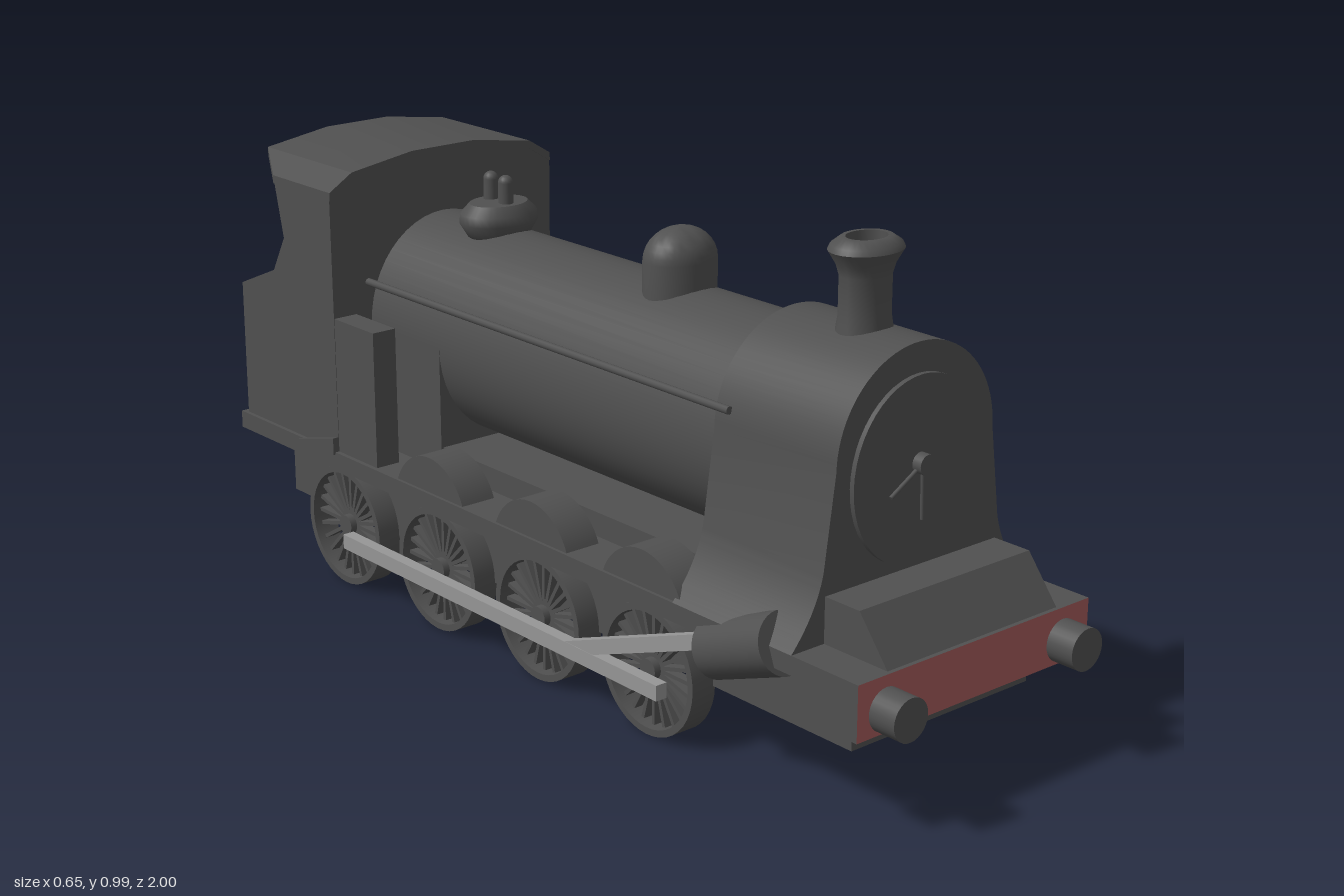
import * as THREE from 'three';
import { toCreasedNormals, mergeGeometries } from 'three/addons/utils/BufferGeometryUtils.js';

const material = (name, color) => Object.assign(new THREE.MeshStandardMaterial({ color }), { name });

export function createModel() {
  const dark = material('dark iron', 0x505050);
  const red = material('buffer red', 0xa65c5c);
  const steel = material('rod steel', 0x969696);
  const model = new THREE.Group();
  model.name = 'steamEngine';

  const add = (name, geo, mat = dark, x = 0, y = 0, z = 0) => {
    const m = new THREE.Mesh(geo, mat);
    m.name = name;
    m.position.set(x, y, z);
    model.add(m);
    return m;
  };
  // box given by its limits
  const box = (name, x0, x1, y0, y1, z0, z1, mat = dark) =>
    add(name, new THREE.BoxGeometry(x1 - x0, y1 - y0, z1 - z0), mat, (x0 + x1) / 2, (y0 + y1) / 2, (z0 + z1) / 2);
  const shapeOf = (pts) => new THREE.Shape(pts.map((p) => new THREE.Vector2(p[0], p[1])));
  const extrude = (shape, depth) =>
    toCreasedNormals(new THREE.ExtrudeGeometry(shape, { depth, bevelEnabled: false, curveSegments: 20 }), 0.6);
  // (z, y) outline made into a plate centred on x
  const sidePlate = (pts, t) => extrude(shapeOf(pts), t).rotateY(-Math.PI / 2).translate(t / 2, 0, 0);
  const lathe = (pts, n = 32) =>
    toCreasedNormals(new THREE.LatheGeometry(pts.map((p) => new THREE.Vector2(p[0], p[1])), n), 0.7);
  // round bar or flat bar between two points
  const bar = (name, a, b, w, h, mat, round) => {
    const p = new THREE.Vector3(...a), q = new THREE.Vector3(...b);
    const len = p.distanceTo(q);
    const geo = round ? new THREE.CylinderGeometry(w, w, len, 10).rotateX(Math.PI / 2) : new THREE.BoxGeometry(w, h, len);
    const m = add(name, geo, mat);
    m.position.copy(p).add(q).multiplyScalar(0.5);
    m.lookAt(q);
    return m;
  };

  // chassis, running board with red underside, buffer beam
  box('chassis', -0.23, 0.23, 0.13, 0.27, -0.9, 0.86);
  box('runningBoard', -0.3, 0.3, 0.267, 0.305, -1, 0.935, [dark, dark, dark, red, dark, dark]);
  box('bufferBeam', -0.3, 0.3, 0.195, 0.305, 0.86, 0.94, [dark, dark, dark, dark, red, red]);
  for (const s of [-1, 1]) {
    add('buffer', new THREE.CylinderGeometry(0.042, 0.042, 0.06, 28).rotateX(Math.PI / 2), dark, s * 0.23, 0.24, 0.97);
  }

  // sloping box ahead of the smokebox
  add('frontPlatform', sidePlate([[0.7, 0.3], [0.935, 0.3], [0.86, 0.395], [0.7, 0.395]], 0.44));

  // smokebox with flared foot
  const smoke = new THREE.Shape();
  smoke.moveTo(-0.3, 0.305);
  smoke.lineTo(0.3, 0.305);
  smoke.quadraticCurveTo(0.24, 0.37, 0.225, 0.44);
  smoke.lineTo(0.2, 0.62);
  smoke.absellipse(0, 0.62, 0.2, 0.2, 0, Math.PI, false);
  smoke.lineTo(-0.225, 0.44);
  smoke.quadraticCurveTo(-0.24, 0.37, -0.3, 0.305);
  add('smokebox', extrude(smoke, 0.315), dark, 0, 0, 0.46);

  // smokebox door and its handles
  const door = add('smokeboxDoor', new THREE.CylinderGeometry(0.166, 0.166, 0.02, 48).rotateX(Math.PI / 2), dark, 0, 0.583, 0.775);
  door.scale.y = 1.08;
  add('doorKnob', new THREE.CylinderGeometry(0.02, 0.02, 0.025, 20).rotateX(Math.PI / 2), dark, 0, 0.597, 0.793);
  bar('doorHandle', [0, 0.597, 0.792], [-0.08, 0.55, 0.792], 0.004, 0, dark, true);
  bar('doorHandle', [0, 0.597, 0.792], [0.003, 0.49, 0.792], 0.004, 0, dark, true);

  // boiler, its cradle, and the firebox
  const boiler = add('boiler', new THREE.CylinderGeometry(0.195, 0.195, 1.13, 48).rotateX(Math.PI / 2), dark, 0, 0.573, -0.09);
  boiler.scale.y = 1.11;
  box('boilerCradle', -0.19, 0.19, 0.3, 0.355, -0.64, 0.47);
  box('firebox', -0.195, 0.195, 0.3, 0.573, -0.65, -0.39);
  box('backheadStep', -0.19, 0.19, 0.3, 0.37, -0.71, -0.63);

  // chimney
  const chimney = add('chimney', lathe([[0.05, 0.79], [0.043, 0.84], [0.043, 0.915], [0.048, 0.935], [0.062, 0.962],
    [0.058, 0.972], [0.042, 0.985], [0.034, 0.985], [0.034, 0.95], [0, 0.95]]), dark, 0, 0, 0.637);
  chimney.scale.x = 1.25;

  // steam dome
  const domePts = [[0.063, 0.75], [0.063, 0.84]];
  for (let i = 1; i <= 8; i++) {
    const a = (i / 8) * Math.PI / 2;
    domePts.push([0.063 * Math.cos(a), 0.84 + 0.065 * Math.sin(a)]);
  }
  add('steamDome', lathe(domePts), dark, 0, 0, 0.138).scale.x = 1.27;

  // safety valves
  add('valveBase', lathe([[0.03, 0.76], [0.055, 0.775], [0.07, 0.805], [0.068, 0.825], [0.052, 0.845], [0, 0.848]]), dark, 0, 0, -0.435).scale.x = 1.27;
  for (const dz of [-0.025, 0.025]) {
    add('safetyValve', new THREE.CapsuleGeometry(0.016, 0.06, 6, 14), dark, 0, 0.859, -0.435 + dz);
  }

  // cab front wall, sides and bowed roof
  const roofX = [-0.292, -0.235, -0.08, 0.08, 0.235, 0.292];
  const roofY = [0.872, 0.907, 0.93, 0.93, 0.907, 0.872];
  const wallPts = [[-0.29, 0.3], [0.29, 0.3], ...roofX.map((x, i) => [x, roofY[i] - 0.01]).reverse()];
  add('cabFront', extrude(shapeOf(wallPts), 0.02), dark, 0, 0, -0.65);
  for (const s of [-1, 1]) {
    add('cabSide', sidePlate([[-0.63, 0.3], [-0.63, 0.865], [-0.84, 0.865], [-0.81, 0.74], [-0.855, 0.66],
      [-0.985, 0.605], [-0.985, 0.3]], 0.02), dark, s * 0.281);
  }
  let roof = new THREE.BoxGeometry(5, 0.018, 1, 5, 1, 1);
  const rp = roof.attributes.position;
  for (let i = 0; i < rp.count; i++) {
    const k = Math.round(rp.getX(i) + 2.5);
    const back = k === 0 || k === 5 ? -0.84 : -0.945;
    rp.setXYZ(i, roofX[k], roofY[k] - 0.009 + rp.getY(i), rp.getZ(i) > 0 ? -0.628 : back);
  }
  roof = toCreasedNormals(roof, 0.2);
  add('cabRoof', roof);

  // wheel: rim, hub and thin spokes, axis along x
  const rim = new THREE.LatheGeometry([[0.118, -0.028], [0.132, -0.028], [0.132, 0.028], [0.118, 0.028], [0.118, -0.028]]
    .map((p) => new THREE.Vector2(...p)), 40);
  const wheelParts = [toCreasedNormals(rim, 0.6), new THREE.CylinderGeometry(0.022, 0.022, 0.05, 16).toNonIndexed()];
  for (let i = 0; i < 24; i++) {
    wheelParts.push(new THREE.BoxGeometry(0.104, 0.02, 0.008).translate(0.07, 0, 0).rotateY((i / 24) * Math.PI * 2).toNonIndexed());
  }
  const wheelGeo = mergeGeometries(wheelParts).rotateZ(Math.PI / 2);

  // splasher: segment of a circle above the running board
  const splash = [];
  const a0 = Math.asin(0.04 / 0.12);
  for (let i = 0; i <= 18; i++) {
    const a = a0 + (i / 18) * (Math.PI - 2 * a0);
    splash.push([0.12 * Math.cos(a), 0.26 + 0.12 * Math.sin(a)]);
  }
  const splashGeo = sidePlate(splash, 0.08);

  const wheelZ = [0.365, 0.033, -0.3, -0.635];
  wheelZ.forEach((z, i) => {
    bar('axle', [-0.25, 0.132, z], [0.25, 0.132, z], 0.012, 0, dark, true);
    for (const s of [-1, 1]) {
      add('wheel', wheelGeo, dark, s * 0.253, 0.132, z);
      if (i < 3) add('splasher', splashGeo, dark, s * 0.253, 0, z);
    }
  });

  for (const s of [-1, 1]) {
    // box beside the firebox and small rear splasher wedge
    const x = s * 0.262;
    box('sideBox', x - 0.028, x + 0.028, 0.3, 0.6, -0.64, -0.49);
    add('rearSplasher', sidePlate([[-0.63, 0.3], [-0.63, 0.337], [-0.77, 0.3]], 0.02), dark, s * 0.295);
    // handrail along the boiler
    bar('handrail', [s * 0.2, 0.665, 0.5], [s * 0.2, 0.665, -0.64], 0.008, 0, dark, true);
    // inclined cylinder and rods
    bar('steamCylinder', [s * 0.265, 0.301, 0.72], [s * 0.265, 0.235, 0.545], 0.06, 0, dark, true).geometry =
      new THREE.CylinderGeometry(0.06, 0.06, 0.187, 32).rotateX(Math.PI / 2);
    bar('connectingRod', [s * 0.296, 0.262, 0.56], [s * 0.296, 0.115, 0.16], 0.022, 0.03, steel);
    box('couplingRod', s * 0.295 - 0.013, s * 0.295 + 0.013, 0.096, 0.128, -0.6, 0.425, steel);
  }
  return model;
}
